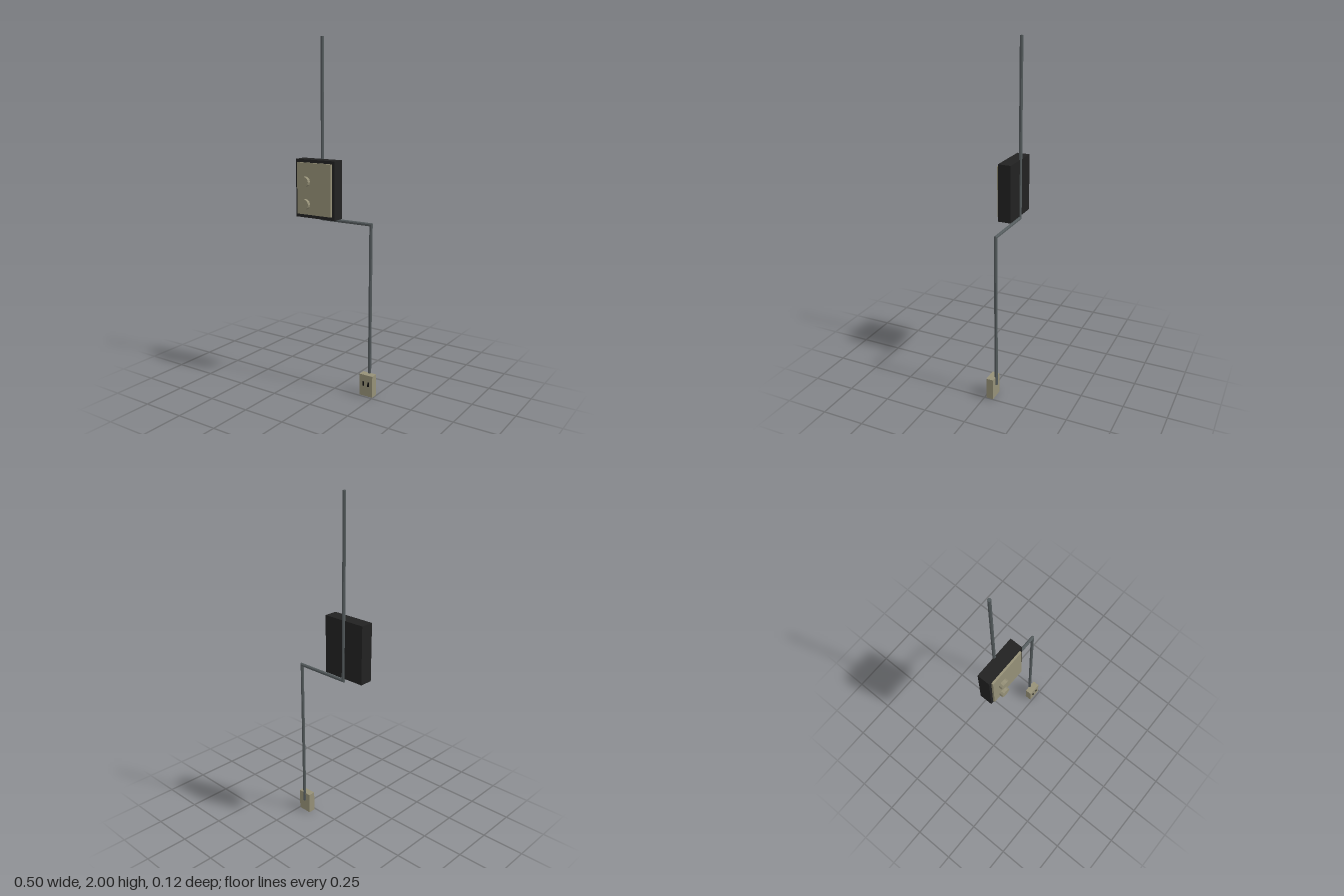
import * as THREE from 'three';

const mat = (name, color) => Object.assign(new THREE.MeshStandardMaterial({ color }), { name });

// Octagonal conduit with mitred corners; nodes are [x, y, mitreX, mitreY].
function conduitGeometry(nodes, r, z, sides = 8) {
  const pos = [], idx = [];
  for (const [x, y, mx, my] of nodes) {
    for (let j = 0; j < sides; j++) {
      const a = ((j + 0.5) / sides) * Math.PI * 2;
      pos.push(x + mx * r * Math.cos(a), y + my * r * Math.cos(a), z + r * Math.sin(a));
    }
  }
  const last = (nodes.length - 1) * sides;
  for (let k = 0; k < last; k += sides) {
    for (let j = 0; j < sides; j++) {
      const n = (j + 1) % sides;
      const a = k + j, b = k + n, c = b + sides, d = a + sides;
      idx.push(a, b, c, a, c, d);
    }
  }
  // End caps
  for (let j = 1; j < sides - 1; j++) {
    idx.push(0, j + 1, j, last, last + j, last + j + 1);
  }
  const g = new THREE.BufferGeometry();
  g.setAttribute('position', new THREE.Float32BufferAttribute(pos, 3));
  g.setIndex(idx);
  const flat = g.toNonIndexed();
  flat.computeVertexNormals();
  return flat;
}

export function createModel() {
  const group = new THREE.Group();
  const casing = mat('black casing', 0x222222);
  const cover = mat('beige cover', 0x969178);
  const steel = mat('grey conduit', 0x555c5e);
  const hole = mat('slot black', 0x0c0c0c);

  const add = (name, geometry, material, x = 0, y = 0, z = 0) => {
    const m = new THREE.Mesh(geometry, material);
    m.name = name;
    m.position.set(x, y, z);
    group.add(m);
    return m;
  };
  // Box given by its extents
  const box = (name, material, x0, x1, y0, y1, z0, z1) =>
    add(name, new THREE.BoxGeometry(x1 - x0, y1 - y0, z1 - z0), material,
      (x0 + x1) / 2, (y0 + y1) / 2, (z0 + z1) / 2);

  // Breaker box with raised front panel
  box('panelCasing', casing, -0.248, 0.014, 1.0, 1.331, -0.053, 0.023);
  box('frontPanel', cover, -0.232, -0.003, 1.02, 1.314, 0.023, 0.035);

  // Round knobs standing just off the panel
  for (const y of [1.208, 1.08]) {
    const g = new THREE.CylinderGeometry(0.03, 0.03, 0.021, 12).rotateX(Math.PI / 2);
    add('knob', g.toNonIndexed(), cover, -0.168, y, 0.0515).geometry.computeVertexNormals();
  }

  // Conduit running down behind the box, across, and down to the socket
  add('conduit', conduitGeometry([
    [-0.118, 2.0, 1, 0],
    [-0.118, 0.988, 1, 1],
    [0.204, 0.988, 1, 1],
    [0.204, 0.075, 1, 0],
  ], 0.0095, -0.053), steel);

  // Wall socket with two slots
  box('socket', cover, 0.163, 0.247, 0, 0.126, -0.053, -0.011);
  for (const x of [0.188, 0.221]) {
    box('socketSlot', hole, x - 0.004, x + 0.004, 0.06, 0.086, -0.013, -0.007);
  }
  return group;
}
